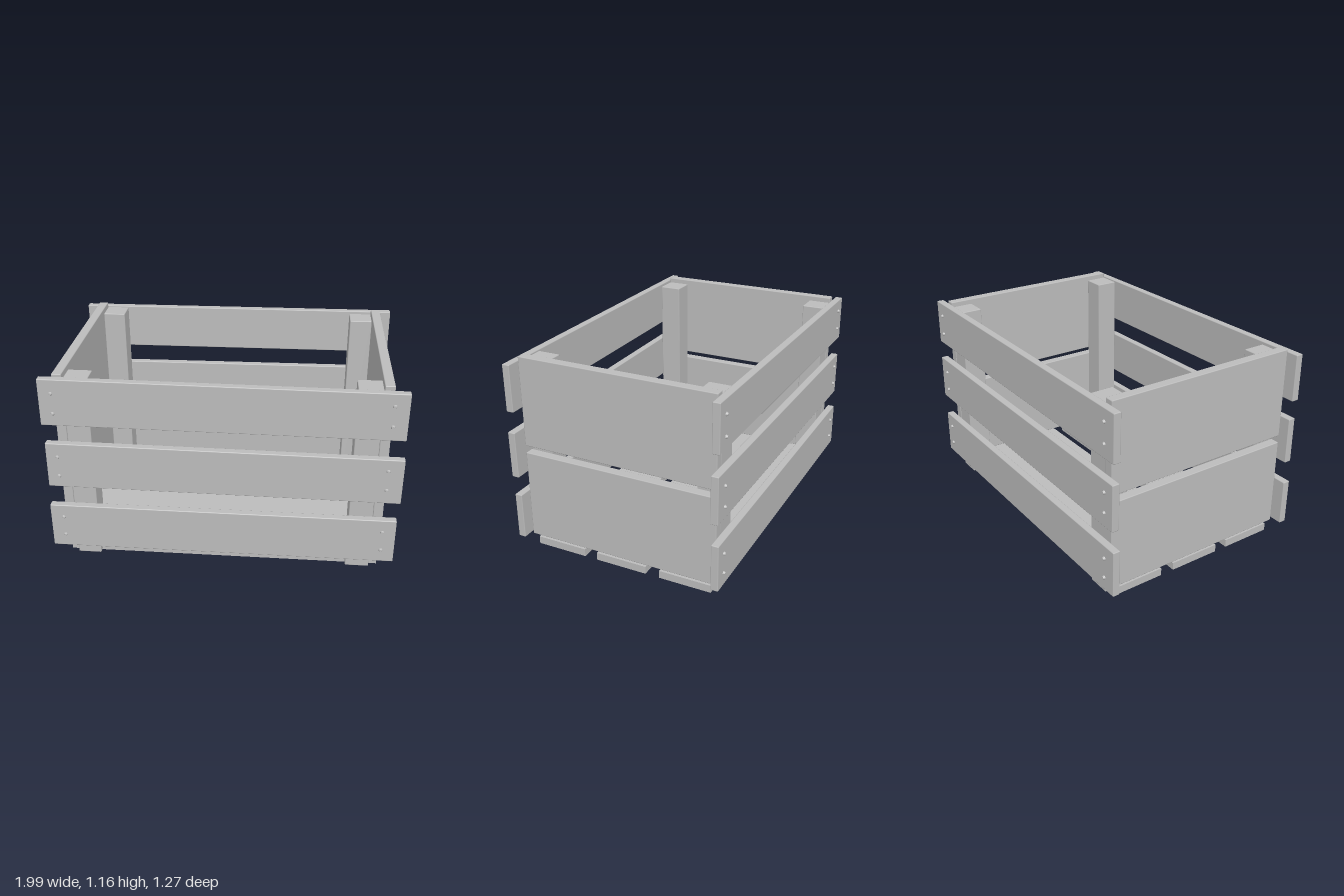
import * as THREE from 'three';
import { RoundedBoxGeometry } from 'three/addons/geometries/RoundedBoxGeometry.js';

export function createModel() {
  const crate = new THREE.Group();
  crate.name = 'crate';
  const grey = new THREE.MeshStandardMaterial({ color: 0xbcbcbc, side: THREE.DoubleSide });
  grey.name = 'plain grey';

  const add = (name, geometry, x, y, z, parent = crate) => {
    const mesh = new THREE.Mesh(geometry, grey);
    mesh.name = name;
    mesh.position.set(x, y, z);
    parent.add(mesh);
    return mesh;
  };
  const board = (w, h, d) => new RoundedBoxGeometry(w, h, d, 1, 0.005);

  // End walls: two wide boards at each end, and four corner posts
  for (const s of [-1, 1]) {
    const end = s > 0 ? 'left' : 'right';
    add(end + 'LowerEndBoard', board(0.055, 0.527, 1.164), s * 0.8825, 0.328, 0);
    add(end + 'UpperEndBoard', board(0.055, 0.527, 1.164), s * 0.8825, 0.897, 0);
    for (const f of [-1, 1]) {
      add(end + (f > 0 ? 'Front' : 'Back') + 'Post',
        board(0.135, 1.125, 0.135), s * 0.7875, 0.5685, f * 0.513);
    }
  }

  // Floor boards, hollow on the underside
  [-0.395, 0, 0.39].forEach((z, i) => {
    const geo = new THREE.BoxGeometry(1.805, 0.045, 0.311);
    const index = Array.from(geo.index.array);
    index.splice(18, 6); // drop the bottom face
    geo.setIndex(index);
    geo.clearGroups();
    add('floorBoard' + (i + 1), geo, 0, 0.0255, z);
  });

  // Long sides: three slightly crooked slats, each with four screws
  const screw = new THREE.CylinderGeometry(0.007, 0.012, 0.012, 12).rotateX(Math.PI / 2);
  const slats = [ // [height, front offset, back offset, tilt]
    [0.2185, 0.0, -0.006, -0.001],
    [0.615, 0.01, 0.005, -0.0075],
    [1.005, 0.004, -0.004, -0.0055],
  ];
  for (const f of [1, -1]) {
    const side = new THREE.Group();
    side.name = f > 0 ? 'frontSide' : 'backSide';
    if (f < 0) side.rotation.y = Math.PI;
    crate.add(side);
    slats.forEach(([y, frontX, backX, tilt], i) => {
      const x = f > 0 ? frontX : -backX;
      const slat = add('slat' + (i + 1), board(1.97, 0.274, 0.044), x, y, 0.604, side);
      slat.rotation.z = tilt;
      for (const sx of [-1, 1]) {
        for (const sy of [-1, 1]) {
          add('screw', screw, sx * 0.91, y + sy * 0.06, 0.631, side);
        }
      }
    });
  }
  return crate;
}
